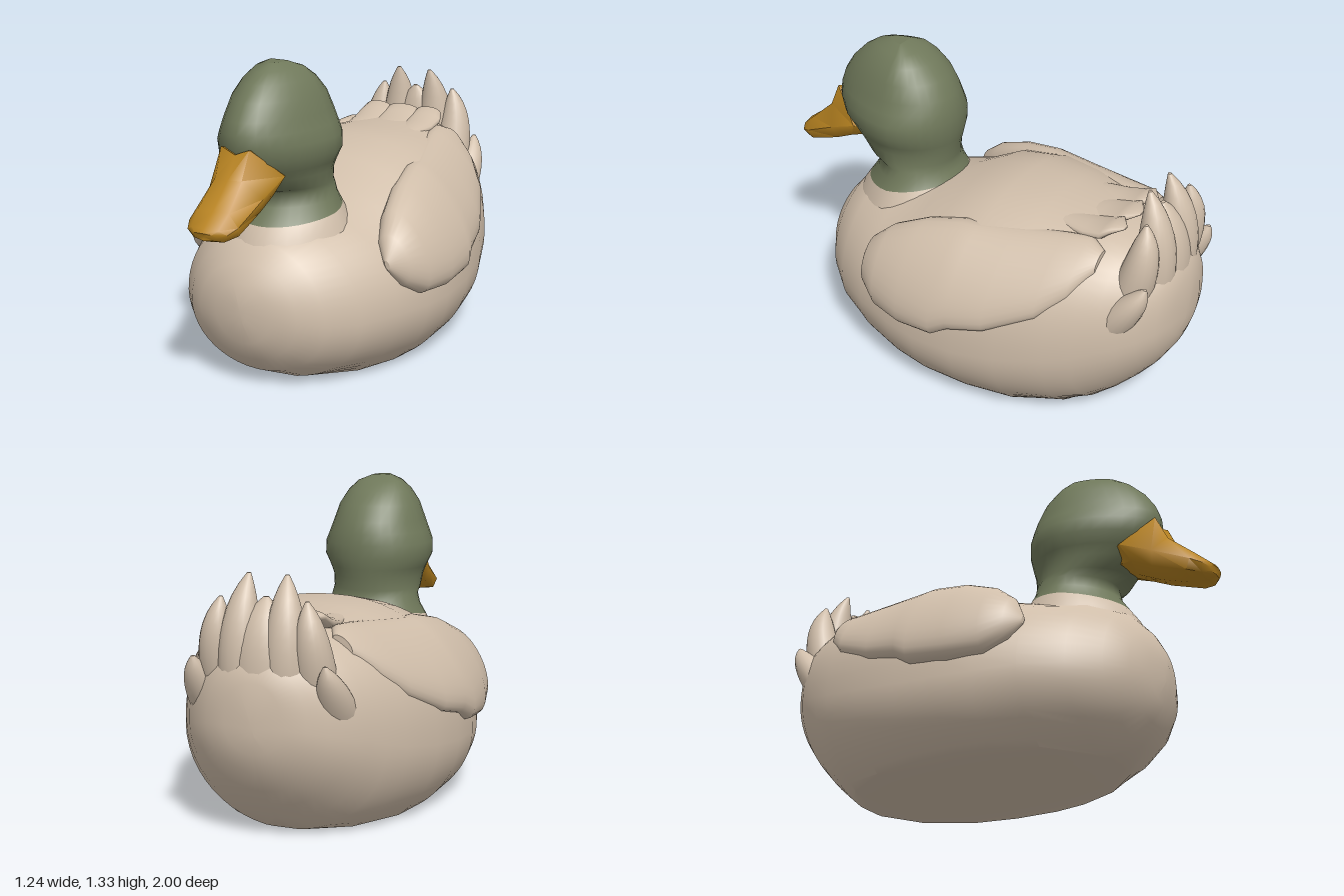
import * as THREE from 'three';
import { toCreasedNormals } from 'three/addons/utils/BufferGeometryUtils.js';

const mat = (name, color) => {
  const m = new THREE.MeshStandardMaterial({ color });
  m.name = name;
  return m;
};

// Skin a list of closed rings ([x, y, z] points) and cap both ends
function loft(rings, crease) {
  const n = rings[0].length;
  const pos = rings.flat(2);
  const at = (i) => new THREE.Vector3().fromArray(pos, i * 3);
  const index = [];
  for (let r = 0; r < rings.length - 1; r++) {
    for (let i = 0; i < n; i++) {
      const a = r * n + i, b = r * n + (i + 1) % n;
      index.push(a, b, a + n, b, b + n, a + n);
    }
  }
  // Caps get their own rim so the skin keeps its smooth shading
  for (const r of [0, rings.length - 1]) {
    const rim = pos.length / 3, c = rim + n;
    pos.push(...rings[r].flat());
    for (let k = 0; k < 3; k++) pos.push(rings[r].reduce((s, p) => s + p[k], 0) / n);
    for (let i = 0; i < n; i++) {
      const a = rim + i, b = rim + (i + 1) % n;
      index.push(...(r === 0 ? [b, a, c] : [a, b, c]));
    }
  }
  // Turn the faces outward if the solid came out inside out
  let volume = 0;
  for (let i = 0; i < index.length; i += 3) {
    volume += at(index[i]).dot(at(index[i + 1]).cross(at(index[i + 2])));
  }
  if (volume < 0) index.reverse();
  const g = new THREE.BufferGeometry();
  g.setAttribute('position', new THREE.Float32BufferAttribute(pos, 3));
  g.setIndex(index);
  g.computeVertexNormals();
  return crease ? toCreasedNormals(g, crease) : g;
}

const ring = (n, fn) => Array.from({ length: n }, (_, i) => {
  const a = (i / n) * Math.PI * 2;
  return fn(Math.cos(a), Math.sin(a), a);
});

// Body sections: z, half width, bottom, top, height of widest point
const BODY = [
  [0.748, 0.03, 0.30, 0.40, 0.35], [0.73, 0.13, 0.21, 0.47, 0.34],
  [0.69, 0.23, 0.13, 0.54, 0.32], [0.62, 0.32, 0.055, 0.62, 0.30],
  [0.50, 0.42, -0.01, 0.68, 0.29], [0.33, 0.50, -0.08, 0.71, 0.29],
  [0.15, 0.55, -0.12, 0.75, 0.28], [0.0, 0.575, -0.13, 0.83, 0.28],
  [-0.2, 0.575, -0.13, 0.875, 0.29], [-0.4, 0.548, -0.12, 0.87, 0.32],
  [-0.6, 0.485, -0.06, 0.855, 0.36], [-0.7, 0.437, -0.005, 0.85, 0.39],
  [-0.78, 0.39, 0.065, 0.83, 0.42], [-0.85, 0.34, 0.14, 0.81, 0.44],
  [-0.91, 0.28, 0.215, 0.78, 0.46], [-0.96, 0.21, 0.30, 0.73, 0.48],
  [-0.99, 0.12, 0.38, 0.66, 0.49], [-1.0, 0.02, 0.45, 0.53, 0.49],
];
// The back is slightly squared off; the lower half follows an ellipse down to
// the ground, then runs flat to the middle
const bodyGeometry = () => loft(BODY.map(([z, w, lo, hi, mid]) => ring(56, (c, s, a) => {
  if (s >= 0) {
    const e = 1 - 0.14 * THREE.MathUtils.smoothstep(-z, -0.35, 0);
    return [Math.sign(c) * w * Math.abs(c) ** e, mid + s ** e * (hi - mid), z];
  }
  const t = Math.asin(-s) / (Math.PI / 2) / 0.8;
  const floor = Math.asin(Math.min(1, mid / (mid - lo)));
  const angle = floor * Math.min(t, 1);
  const inward = lo < 0 ? 1 - Math.max(0, t - 1) / 0.25 : 1;
  return [Math.sign(c) * w * Math.cos(angle) * inward, mid - (mid - lo) * Math.sin(angle), z];
})), 0.7);

// Neck and head sections: y, front z, back z, half width, rise toward the back
const COLLAR = [
  [0.54, 0.66, 0.09, 0.29, 0.08], [0.62, 0.63, 0.125, 0.258, 0.075],
  [0.67, 0.595, 0.15, 0.235, 0.07],
];
const HEAD = [
  [0.67, 0.595, 0.15, 0.235, 0.07], [0.74, 0.548, 0.17, 0.21, 0.03],
  [0.80, 0.535, 0.178, 0.2, 0], [0.825, 0.60, 0.178, 0.2, 0],
  [0.88, 0.66, 0.172, 0.205, 0], [0.92, 0.70, 0.163, 0.22, 0],
  [0.97, 0.735, 0.155, 0.245, 0], [1.03, 0.755, 0.155, 0.243, 0],
  [1.08, 0.752, 0.165, 0.222, 0], [1.13, 0.735, 0.18, 0.203, 0],
  [1.20, 0.69, 0.22, 0.18, 0], [1.26, 0.63, 0.28, 0.142, 0],
  [1.30, 0.57, 0.345, 0.1, 0], [1.325, 0.5, 0.42, 0.04, 0],
];
const headGeometry = (rows) => loft(rows.map(([y, front, back, w, rise]) => {
  const zc = THREE.MathUtils.clamp(0.4, back, (front + back) / 2);
  return ring(32, (c, s) => [
    w * c * (1 - 0.15 * Math.max(0, s)),
    y + rise * (1 - s) / 2,
    zc + s * (s > 0 ? front - zc : zc - back)]);
}));

// Bill: half outlines from top centre to bottom centre, mirrored into rings
const BILL = [
  [[0, 0.95, 0.55], [0.04, 0.95, 0.55], [0.06, 0.91, 0.53], [0.05, 0.86, 0.53], [0, 0.86, 0.53]],
  [[0, 1.01, 0.762], [0.065, 1.037, 0.758], [0.142, 0.908, 0.62], [0.11, 0.835, 0.66], [0, 0.825, 0.64]],
  [[0, 0.92, 0.82], [0.06, 0.925, 0.81], [0.127, 0.85, 0.76], [0.105, 0.79, 0.75], [0, 0.775, 0.74]],
  [[0, 0.825, 0.925], [0.07, 0.825, 0.92], [0.112, 0.775, 0.92], [0.1, 0.735, 0.9], [0, 0.725, 0.88]],
  [[0, 0.775, 0.99], [0.06, 0.772, 0.98], [0.09, 0.755, 0.965], [0.07, 0.722, 0.955], [0, 0.714, 0.955]],
  [[0, 0.76, 1.0], [0.04, 0.757, 0.995], [0.055, 0.745, 0.985], [0.04, 0.732, 0.985], [0, 0.728, 0.992]],
];
const billGeometry = () => loft(BILL.map((half) =>
  [...half, ...half.slice(1, -1).reverse().map(([x, y, z]) => [-x, y, z])]), 1.1);

// Wing sections: z, centre x, centre y, half length, half thickness, inward lean
const WING = [
  [0.335, 0.45, 0.50, 0.02, 0.01, 0.4], [0.29, 0.46, 0.51, 0.11, 0.065, 0.45],
  [0.2, 0.465, 0.52, 0.185, 0.095, 0.48], [0.05, 0.465, 0.55, 0.235, 0.105, 0.55],
  [-0.12, 0.455, 0.58, 0.255, 0.1, 0.6], [-0.19, 0.44, 0.6, 0.235, 0.095, 0.64],
  [-0.35, 0.405, 0.63, 0.23, 0.085, 0.7], [-0.55, 0.34, 0.69, 0.19, 0.07, 0.78],
  [-0.65, 0.29, 0.735, 0.14, 0.06, 0.82], [-0.72, 0.26, 0.775, 0.05, 0.025, 0.85],
];
const wingGeometry = (side) => loft(WING.map(([z, x, y, len, thick, lean]) =>
  ring(28, (c, s) => [
    side * (x + thick * c * Math.cos(lean) - len * s * Math.sin(lean)),
    y + thick * c * Math.sin(lean) + len * s * Math.cos(lean), z])));

// Upturned feather: oval sections rising along a curve from base to tip
function featherGeometry(base, mid, tip, width, depth) {
  const curve = new THREE.QuadraticBezierCurve3(...[base, mid, tip].map((p) => new THREE.Vector3(...p)));
  const rings = [];
  for (let i = 0; i <= 12; i++) {
    const t = i / 12, p = curve.getPoint(t);
    const k = Math.max(0.08, Math.pow(1 - Math.pow(t, 2.6), 0.75));
    rings.push(ring(18, (c, s) => [p.x + width * k * c, p.y, p.z + depth * k * s]));
  }
  return loft(rings);
}

// Small covert lying on the rump: oval sections along z
const covertGeometry = (x, width) => loft(
  [[-0.45, 0.83, 0.6], [-0.6, 0.833, 0.95], [-0.68, 0.852, 1], [-0.72, 0.88, 0.8], [-0.76, 0.88, 0.15]]
    .map(([z, y, k]) => ring(16, (c, s) => [x + width * k * c, y + 0.03 * k * s, z])));

export function createModel() {
  const plumage = mat('beige plumage', 0xd0beaa);
  const green = mat('green head', 0x6f785a);
  const orange = mat('orange bill', 0xb98421);
  const duck = new THREE.Group();
  duck.name = 'duck';
  const add = (name, geometry, material) => {
    const mesh = new THREE.Mesh(geometry, material);
    mesh.name = name;
    duck.add(mesh);
  };

  add('body', bodyGeometry(), plumage);
  add('neckBase', headGeometry(COLLAR), plumage);
  add('head', headGeometry(HEAD), green);
  add('bill', billGeometry(), orange);
  add('centreCovert', covertGeometry(0, 0.1), plumage);
  add('tailCentre', featherGeometry([0, 0.4, -0.85], [0, 0.8, -0.92], [0, 0.97, -0.85], 0.14, 0.1), plumage);

  for (const side of [1, -1]) {
    const label = side > 0 ? 'left' : 'right';
    add(label + 'Wing', wingGeometry(side), plumage);
    add(label + 'Covert', covertGeometry(side * 0.13, 0.08), plumage);
    add(label + 'InnerTailFeather', featherGeometry(
      [side * 0.08, 0.4, -0.82], [side * 0.11, 0.82, -0.94], [side * 0.08, 1.055, -0.83], 0.1, 0.095), plumage);
    add(label + 'MiddleTailFeather', featherGeometry(
      [side * 0.18, 0.42, -0.75], [side * 0.22, 0.78, -0.91], [side * 0.18, 0.965, -0.875], 0.09, 0.09), plumage);
    add(label + 'OuterTailFeather', featherGeometry(
      [side * 0.24, 0.36, -0.68], [side * 0.29, 0.58, -0.84], [side * 0.275, 0.735, -0.935], 0.09, 0.1), plumage);
  }
  return duck;
}
